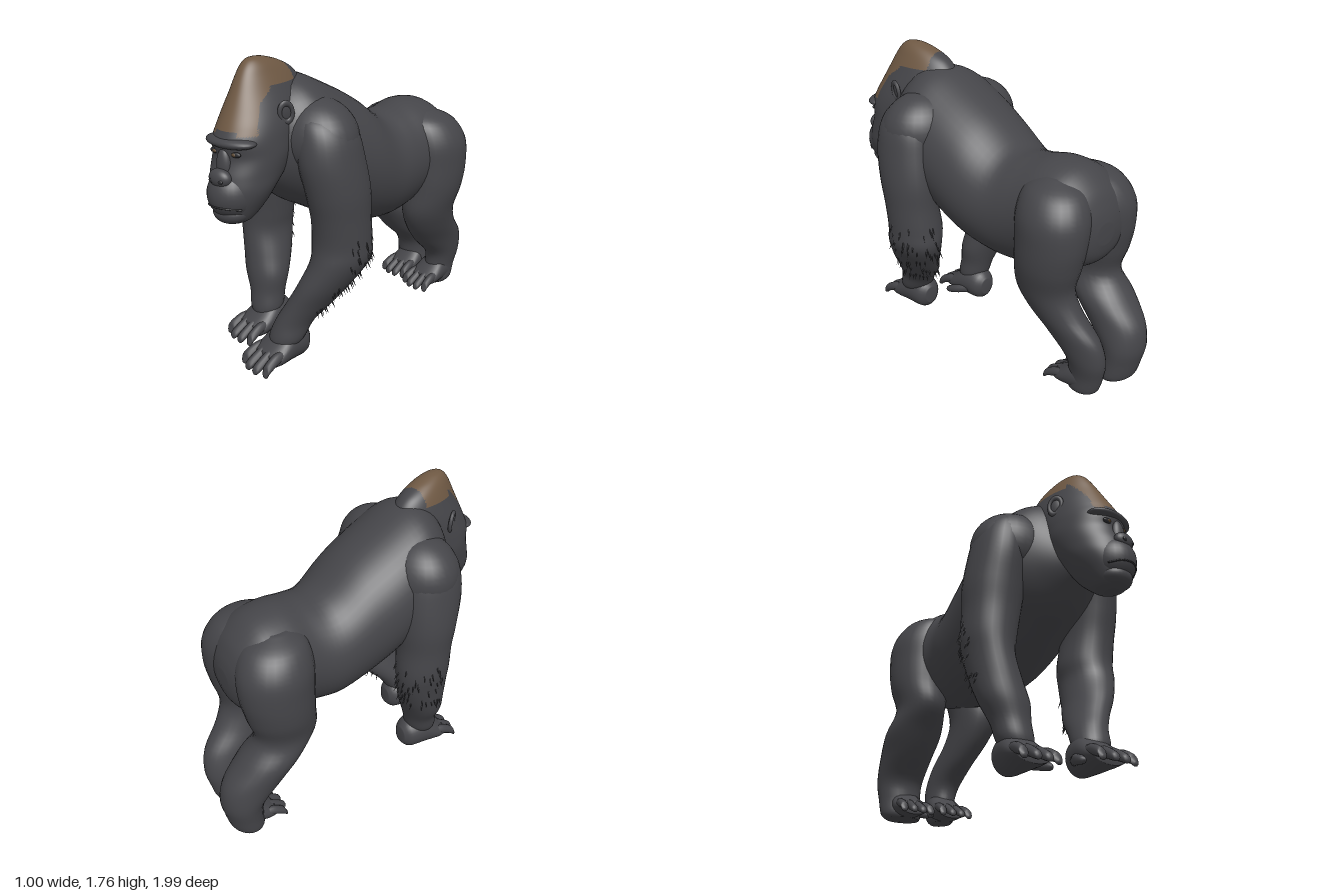
import * as THREE from 'three';
import { mergeGeometries } from 'three/addons/utils/BufferGeometryUtils.js';

const mat = (name, color) => {
  const m = new THREE.MeshStandardMaterial({ color });
  m.name = name;
  return m;
};

// Smooth interpolation through rows of numbers
function sample(rows, u) {
  const n = rows.length - 1, i = Math.min(Math.floor(u * n), n - 1), t = u * n - i;
  const at = (k) => rows[Math.max(0, Math.min(n, k))];
  return rows[0].map((_, c) => {
    const [p, q, r, s] = [at(i - 1)[c], at(i)[c], at(i + 1)[c], at(i + 2)[c]];
    return q + 0.5 * t * (r - p + t * (2 * p - 5 * q + 4 * r - s + t * (3 * (q - r) + s - p)));
  });
}

// Elliptical rings along 'y' (row: y, x, z, rx, rz) or 'z' (row: z, x, y, rx, ry)
function loft(axis, rows, seg = 28, sub = 5) {
  const steps = (rows.length - 1) * sub, pos = [], idx = [];
  const put = (t, a, b) => (axis === 'y' ? pos.push(a, t, b) : pos.push(a, b, t));
  for (let i = 0; i <= steps; i++) {
    const [t, a, b, ra, rb] = sample(rows, i / steps);
    for (let j = 0; j < seg; j++) {
      const w = (j / seg) * Math.PI * 2;
      put(t, a + Math.max(ra, 0.002) * Math.cos(w), b + Math.max(rb, 0.002) * Math.sin(w));
    }
  }
  const first = rows[0], last = rows[rows.length - 1];
  put(...first.slice(0, 3));
  put(...last.slice(0, 3));
  const flip = (axis === 'z') !== (last[0] < first[0]);
  const tri = (a, b, c) => (flip ? idx.push(a, c, b) : idx.push(a, b, c));
  const p0 = (steps + 1) * seg, top = steps * seg;
  for (let j = 0; j < seg; j++) {
    const k = (j + 1) % seg;
    for (let i = 0; i < steps; i++) {
      const a = i * seg + j, b = i * seg + k;
      tri(a, a + seg, b);
      tri(b, a + seg, b + seg);
    }
    tri(p0, j, k);
    tri(p0 + 1, top + k, top + j);
  }
  const g = new THREE.BufferGeometry();
  g.setAttribute('position', new THREE.Float32BufferAttribute(pos, 3));
  g.setIndex(idx);
  g.computeVertexNormals();
  return g;
}

// Row given by its two extremes instead of centre and radius
const span = (t, a, hi, lo, ra) => [t, a, (hi + lo) / 2, ra, (hi - lo) / 2];

// Sort triangles into two material groups by a rule on their centre
function paint(g, rule) {
  const p = g.attributes.position, src = g.index.array, sets = [[], []];
  for (let i = 0; i < src.length; i += 3) {
    const f = [src[i], src[i + 1], src[i + 2]];
    const mid = (get) => f.reduce((s, v) => s + p[get](v), 0) / 3;
    sets[rule(mid('getX'), mid('getY'), mid('getZ')) ? 1 : 0].push(...f);
  }
  g.setIndex(sets.flat());
  g.addGroup(0, sets[0].length, 0);
  g.addGroup(sets[0].length, sets[1].length, 1);
  return g;
}

// Outline of the brown crown: low in front, only the ridge behind
const onCrown = (x, y, z) => {
  const low = z > 0.24 && Math.abs(x) < 0.07 ? 1.43 : 1.41;
  if (z < 0.04) return z > -0.16 && y > 1.63;
  return y > low && x > -0.105 - Math.max(0, 1.5 - y) * 0.15 && x < 0.105 + Math.max(0, 1.55 - y) * 0.3;
};

export function createModel() {
  const fur = mat('dark grey fur', 0x454549), crown = mat('brown crown', 0x6e5843);
  const dark = mat('dark creases', 0x2c2c2f), iris = mat('brown eyes', 0x5c4832);
  const model = new THREE.Group();
  const add = (parent, name, geo, m = fur) => {
    const mesh = new THREE.Mesh(geo, m);
    mesh.name = name;
    parent.add(mesh);
    return mesh;
  };
  const ball = (parent, name, p, s, m = fur) => {
    const b = add(parent, name, new THREE.SphereGeometry(1, 32, 20), m);
    b.position.set(...p);
    b.scale.set(...s);
    return b;
  };
  let seed = 7;
  const rand = () => (seed = (seed * 16807) % 2147483647) / 2147483647;

  // Torso from the neck to the rump
  add(model, 'torso', loft('z', [
    span(0.68, 0.05, 1.36, 1.12, 0.1), span(0.6, 0.03, 1.54, 1.04, 0.22),
    span(0.5, 0.01, 1.63, 0.95, 0.31), span(0.38, 0, 1.64, 0.88, 0.36),
    span(0.2, -0.01, 1.56, 0.78, 0.37), span(0, -0.015, 1.45, 0.69, 0.355),
    span(-0.2, -0.035, 1.315, 0.65, 0.325), span(-0.35, -0.04, 1.315, 0.66, 0.3),
    span(-0.5, -0.06, 1.34, 0.7, 0.3), span(-0.65, -0.07, 1.315, 0.74, 0.3),
    span(-0.76, -0.07, 1.225, 0.79, 0.25), span(-0.81, -0.07, 1.13, 0.85, 0.16),
    span(-0.83, -0.07, 1.05, 0.93, 0.06),
  ], 48));
  // Neck and shoulder masses that join the arms and head to the back
  ball(model, 'neck', [0.03, 1.41, 0.47], [0.2, 0.24, 0.2]);
  ball(model, 'leftShoulder', [0.2, 1.32, 0.38], [0.26, 0.22, 0.215]);
  ball(model, 'rightShoulder', [-0.2, 1.32, 0.38], [0.25, 0.22, 0.215]);

  // Tufts of fur hanging from a limb
  function tufts(name, rows, from, to, count, a0, a1) {
    const list = [], up = new THREE.Vector3(0, 1, 0);
    for (let i = 0; i < count; i++) {
      const [y, x, z, rx, rz] = sample(rows, from + (to - from) * rand());
      const a = a0 + (a1 - a0) * rand(), c = Math.cos(a), s = Math.sin(a);
      const dir = new THREE.Vector3(c * 0.45, -1, s * 0.45).normalize();
      const cone = new THREE.ConeGeometry(0.009, 0.06 + 0.03 * rand(), 4);
      cone.applyQuaternion(new THREE.Quaternion().setFromUnitVectors(up, dir));
      cone.translate(x + c * rx, y, z + s * rz);
      list.push(cone);
    }
    add(model, name, mergeGeometries(list));
  }

  // Palm or sole with four digits and an inner thumb
  function extremity(name, x, y, z, inner, size) {
    const g = new THREE.Group();
    g.name = name;
    g.position.set(x, y, z);
    g.scale.setScalar(size);
    add(g, 'palm', loft('z', [
      [-0.13, 0, 0.1, 0.04, 0.05], [-0.09, 0, 0.1, 0.08, 0.09], [0, 0, 0.105, 0.1, 0.1],
      [0.09, 0, 0.075, 0.11, 0.065], [0.15, 0, 0.055, 0.095, 0.04]]));
    for (let i = 0; i < 4; i++) {
      const o = i - 1.5, tip = 0.245 - Math.abs(o) * 0.02;
      add(g, 'digit', loft('z', [
        [0.06, o * 0.05, 0.09, 0.024, 0.025], [0.13, o * 0.055, 0.078, 0.028, 0.03],
        [0.19, o * 0.06, 0.048, 0.027, 0.028], [tip - 0.01, o * 0.062, 0.028, 0.022, 0.022],
        [tip, o * 0.062, 0.022, 0.006, 0.006]], 12));
    }
    add(g, 'thumb', loft('z', [
      [-0.04, inner * 0.07, 0.07, 0.02, 0.025], [0.03, inner * 0.105, 0.055, 0.027, 0.028],
      [0.09, inner * 0.12, 0.035, 0.022, 0.022], [0.115, inner * 0.12, 0.03, 0.006, 0.006]], 12));
    model.add(g);
  }

  // Arms: the left reaches forward, the right stands upright
  const leftArm = [
    [1.49, 0.25, 0.4, 0.04, 0.05], [1.45, 0.28, 0.4, 0.11, 0.13], [1.36, 0.31, 0.39, 0.145, 0.175],
    [1.22, 0.33, 0.38, 0.155, 0.195], [1.05, 0.345, 0.35, 0.155, 0.19], [0.9, 0.345, 0.33, 0.15, 0.175],
    [0.75, 0.335, 0.315, 0.155, 0.175], [0.64, 0.335, 0.325, 0.145, 0.185], [0.5, 0.285, 0.39, 0.125, 0.175],
    [0.38, 0.225, 0.45, 0.11, 0.155], [0.27, 0.175, 0.525, 0.1, 0.12], [0.17, 0.155, 0.575, 0.1, 0.1],
    [0.1, 0.145, 0.6, 0.06, 0.06]];
  const rightArm = [
    [1.49, -0.24, 0.4, 0.04, 0.05], [1.45, -0.27, 0.4, 0.11, 0.13], [1.36, -0.295, 0.39, 0.14, 0.175],
    [1.22, -0.31, 0.38, 0.155, 0.19], [1.05, -0.315, 0.36, 0.17, 0.18], [0.9, -0.32, 0.35, 0.16, 0.165],
    [0.75, -0.33, 0.34, 0.15, 0.165], [0.64, -0.325, 0.345, 0.135, 0.16], [0.5, -0.295, 0.37, 0.14, 0.145],
    [0.38, -0.265, 0.4, 0.14, 0.125], [0.27, -0.24, 0.42, 0.11, 0.105], [0.17, -0.225, 0.44, 0.1, 0.095],
    [0.1, -0.215, 0.46, 0.06, 0.06]];
  add(model, 'leftArm', loft('y', leftArm));
  add(model, 'rightArm', loft('y', rightArm));
  tufts('leftArmFur', leftArm, 0.48, 0.8, 70, -2.2, 0.3);
  tufts('rightArmFur', rightArm, 0.46, 0.68, 50, -3.4, -1);
  extremity('leftHand', 0.145, 0.015, 0.575, -1, 1.08);
  extremity('rightHand', -0.215, 0, 0.435, 1, 1.08);

  // Hind legs
  const leftLeg = [
    [1.28, 0.06, -0.57, 0.05, 0.06], [1.22, 0.08, -0.59, 0.15, 0.17], [1.1, 0.11, -0.615, 0.19, 0.215],
    [0.95, 0.125, -0.62, 0.185, 0.215], [0.8, 0.13, -0.605, 0.17, 0.2], [0.65, 0.12, -0.585, 0.14, 0.185],
    [0.52, 0.095, -0.64, 0.12, 0.185], [0.39, 0.06, -0.745, 0.105, 0.185], [0.26, 0.035, -0.825, 0.095, 0.13],
    [0.15, 0.02, -0.825, 0.085, 0.11], [0.06, 0.02, -0.81, 0.08, 0.1], [0.03, 0.02, -0.8, 0.06, 0.08]];
  const rightLeg = leftLeg.map(([y, x, z, rx, rz], i) =>
    [y, i < 5 ? -0.14 - x : -0.265 + (i - 5) * 0.006, z + (i > 5 ? -0.035 : 0.01), rx + (i > 5 ? 0.045 : 0), rz]);
  [['left', leftLeg, 0.015, -1, -0.785], ['right', rightLeg, -0.225, 1, -0.82]].forEach(([side, rows, x, inner, z]) => {
    add(model, side + 'Leg', loft('y', rows));
    extremity(side + 'Foot', x, 0.022, z, inner, 0.95);
  });

  // Head, turned a little to its left
  const head = new THREE.Group();
  head.name = 'head';
  head.position.set(0.06, 0, 0.63);
  head.rotation.y = 0.24;
  model.add(head);
  const slice = (y, front, back, rx, x = 0) => [y, x, (front + back) / 2, rx, (front - back) / 2];
  add(head, 'skull', paint(loft('y', [
    slice(0.935, 0.27, 0.19, 0.03), slice(0.96, 0.31, 0.13, 0.085), slice(1.04, 0.34, 0.04, 0.135),
    slice(1.12, 0.34, -0.02, 0.17), slice(1.2, 0.325, -0.1, 0.185), slice(1.29, 0.295, -0.15, 0.195),
    slice(1.37, 0.305, -0.2, 0.19), slice(1.44, 0.275, -0.24, 0.18), slice(1.52, 0.23, -0.28, 0.16, -0.005),
    slice(1.6, 0.185, -0.29, 0.13, -0.01), slice(1.67, 0.145, -0.24, 0.1, -0.015),
    slice(1.72, 0.11, -0.15, 0.072, -0.018), slice(1.75, 0.075, -0.06, 0.042, -0.02),
    slice(1.76, 0.04, -0.01, 0.012, -0.02),
  ], 96, 8), onCrown), [fur, crown]);

  // Face
  ball(head, 'muzzle', [0, 1.1, 0.232], [0.132, 0.14, 0.145]);
  ball(head, 'chin', [0, 1.0, 0.255], [0.1, 0.062, 0.09]);
  ball(head, 'noseBridge', [0, 1.25, 0.29], [0.045, 0.1, 0.035]);
  ball(head, 'nose', [0, 1.2, 0.325], [0.068, 0.05, 0.042]);
  ball(head, 'brow', [0, 1.372, 0.232], [0.155, 0.036, 0.09]);
  const lips = new THREE.CatmullRomCurve3([[-0.11, 1.04, 0.295], [-0.06, 1.053, 0.352], [0, 1.056, 0.37],
    [0.06, 1.053, 0.352], [0.11, 1.04, 0.295]].map((p) => new THREE.Vector3(...p)));
  add(head, 'mouthLine', new THREE.TubeGeometry(lips, 24, 0.005, 6), dark);
  for (const s of [-1, 1]) {
    ball(head, 'nostril', [s * 0.03, 1.192, 0.358], [0.016, 0.012, 0.008], dark);
    ball(head, 'eyeSocket', [s * 0.065, 1.322, 0.278], [0.036, 0.016, 0.014], dark);
    ball(head, 'eye', [s * 0.065, 1.322, 0.284], [0.016, 0.01, 0.012], iris);
    const ear = new THREE.Group();
    ear.name = 'ear';
    ear.position.set(s * 0.175, 1.495, 0.01);
    ear.rotation.set(0.2, s * 1.15, 0);
    add(ear, 'earRim', new THREE.TorusGeometry(0.036, 0.012, 10, 24)).scale.y = 1.4;
    ball(ear, 'earBowl', [0, 0, -0.005], [0.036, 0.05, 0.012]);
    head.add(ear);
  }
  return model;
}
